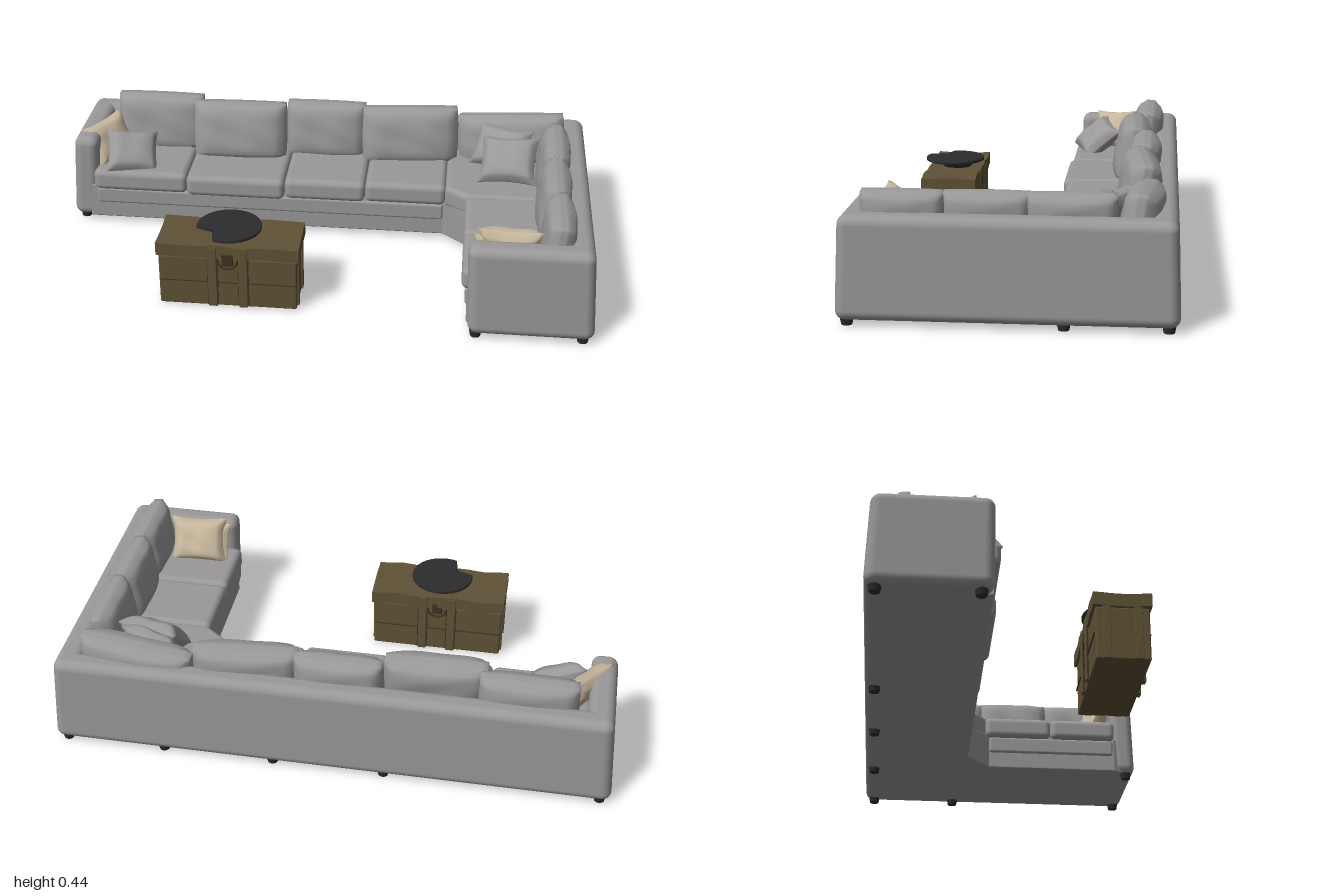
import * as THREE from 'three';
import { mergeVertices } from 'three/addons/utils/BufferGeometryUtils.js';
import { RoundedBoxGeometry } from 'three/addons/geometries/RoundedBoxGeometry.js';

const paint = (name, color) => {
  const m = new THREE.MeshStandardMaterial({ color });
  m.name = name;
  return m;
};

export function createModel() {
  const root = new THREE.Group();
  root.name = 'cornerSofaSet';
  const fabric = paint('greyFabric', 0x9a9898);
  const beige = paint('beigeFabric', 0xc6b69c);
  const wood = paint('oliveWood', 0x5f5236);
  const darkWood = paint('darkWood', 0x3d3422);
  const black = paint('blackMetal', 0x2b2c2e);

  const add = (name, geo, mat, x = 0, y = 0, z = 0) => {
    const m = new THREE.Mesh(geo, mat);
    m.name = name;
    m.position.set(x, y, z);
    root.add(m);
    return m;
  };
  // boxes given by their extents
  const box = (name, mat, [x0, x1], [y0, y1], [z0, z1], r = 0) => {
    const s = [x1 - x0, y1 - y0, z1 - z0];
    const g = r ? new RoundedBoxGeometry(...s, 4, r) : new THREE.BoxGeometry(...s);
    return add(name, g, mat, (x0 + x1) / 2, (y0 + y1) / 2, (z0 + z1) / 2);
  };
  // horizontal slab from an x/z outline, with its top at y
  const slab = (name, mat, pts, top, depth, bevel) => {
    const shape = new THREE.Shape(pts.map(p => new THREE.Vector2(...p)));
    const g = new THREE.ExtrudeGeometry(shape, {
      depth: depth - 2 * bevel, bevelEnabled: bevel > 0, bevelSize: bevel,
      bevelThickness: bevel, bevelOffset: -bevel, bevelSegments: 4, curveSegments: 24,
    });
    g.rotateX(Math.PI / 2);
    return add(name, g, mat, 0, top - bevel, 0);
  };

  // outer walls, leaning slightly inwards towards the top
  const wall = (name, xs, zs) => {
    const m = box(name, fabric, xs, [0.018, 0.357], zs, 0.034);
    const p = m.geometry.attributes.position;
    for (let i = 0; i < p.count; i++) {
      const k = 0.022 * (p.getY(i) / 0.34 + 0.5);
      p.setX(i, p.getX(i) - (p.getX(i) + m.position.x) * k);
      p.setZ(i, p.getZ(i) - (p.getZ(i) + m.position.z) * k);
    }
  };
  wall('backWall', [-1, 1], [-0.547, -0.455]);
  wall('sideWall', [0.905, 1], [-0.547, 0.547]);
  wall('rightArm', [-1, -0.905], [-0.547, -0.14]);
  wall('leftArm', [0.562, 1], [0.455, 0.547]);

  // base following the corner
  slab('seatBase', fabric, [[-0.93, -0.5], [0.95, -0.5], [0.95, 0.5], [0.575, 0.5],
    [0.555, 0.46], [0.555, -0.05], [0.45, -0.14], [-0.93, -0.14]], 0.16, 0.14, 0.006);
  box('frontTrim', fabric, [-0.9, 0.45], [0.085, 0.15], [-0.2, -0.132], 0.01);
  box('sideTrim', fabric, [0.547, 0.62], [0.085, 0.15], [-0.05, 0.455], 0.01);

  // seat cushions
  const seatY = [0.148, 0.232];
  [[-0.905, -0.54, -0.115], [-0.54, -0.16, -0.103], [-0.16, 0.15, -0.117], [0.15, 0.458, -0.125]]
    .forEach(([a, b, z]) => box('seatCushion', fabric, [a, b], seatY, [-0.46, z], 0.024));
  [[-0.068, 0.2], [0.2, 0.462]]
    .forEach(zs => box('seatCushion', fabric, [0.533, 0.91], seatY, zs, 0.024));
  slab('cornerSeatCushion', fabric, [[0.456, -0.46], [0.91, -0.46], [0.91, -0.066],
    [0.537, -0.066], [0.456, -0.128]], 0.232, 0.084, 0.02);
  box('rearLedge', wood, [-0.905, -0.2], [0.226, 0.238], [-0.462, -0.36]);

  // soft pillow: full in the middle, thin at the rim; pinch pulls the sides in
  const pillowGeo = (w, h, d, pinch, edge) => {
    const g = new THREE.BoxGeometry(2, 2, 2, 16, 16, 4);
    g.deleteAttribute('normal');
    g.deleteAttribute('uv');
    const p = g.attributes.position;
    for (let i = 0; i < p.count; i++) {
      const u = p.getX(i), v = p.getY(i), t = p.getZ(i);
      const full = Math.sqrt(Math.max(0, (1 - u ** 4) * (1 - v ** 4)));
      const ripple = 0.003 * full * Math.sin(5 * u + 3 * v) * Math.cos(4 * v - u);
      p.setXYZ(i, w / 2 * u * (1 - pinch * (1 - v * v)),
        h / 2 * v * (1 - pinch * (1 - u * u)),
        d / 2 * t * (edge + (1 - edge) * full) + ripple);
    }
    const m = mergeVertices(g);
    m.computeVertexNormals();
    return m;
  };
  const pillow = (name, mat, size, pos, [turn, tilt, roll], pinch, edge) => {
    const m = add(name, pillowGeo(...size, pinch, edge), mat, ...pos);
    m.rotation.set(tilt, turn, roll, 'YXZ');
  };

  // back cushions: width, height, depth / x, y, z / turn, tilt, roll
  const Q = -Math.PI / 2;
  [
    [[0.335, 0.225, 0.12], [-0.685, 0.318, -0.415], [0, -0.12, 0]],
    [[0.355, 0.225, 0.13], [-0.36, 0.32, -0.36], [0.03, -0.2, 0]],
    [[0.305, 0.22, 0.12], [-0.025, 0.318, -0.41], [0, -0.12, 0]],
    [[0.365, 0.22, 0.13], [0.305, 0.316, -0.4], [0.1, -0.16, 0]],
    [[0.4, 0.19, 0.13], [0.7, 0.31, -0.42], [-0.08, -0.15, 0.08]],
    [[0.285, 0.205, 0.11], [0.855, 0.316, -0.2], [Q, -0.15, 0]],
    [[0.275, 0.205, 0.11], [0.85, 0.316, 0.07], [Q, -0.15, 0]],
    [[0.265, 0.205, 0.11], [0.858, 0.316, 0.34], [Q, -0.12, 0]],
  ].forEach(([s, p, r]) => pillow('backCushion', fabric, s, p, r, -0.025, 0.3));

  // scatter pillows
  [
    ['beigePillow', beige, [0.2, 0.17, 0.08], [-0.87, 0.296, -0.27], [0.95, -0.45, 0.1]],
    ['greyPillow', fabric, [0.2, 0.18, 0.08], [-0.765, 0.28, -0.205], [0.5, -0.85, -0.25]],
    ['beigePillow', beige, [0.22, 0.18, 0.08], [0.69, 0.298, 0.395], [Math.PI, -0.45, 0.04]],
    ['beigePillow', beige, [0.17, 0.15, 0.05], [0.65, 0.285, 0.42], [Math.PI - 0.3, -0.4, 0.1]],
    ['cornerPillow', fabric, [0.22, 0.19, 0.09], [0.69, 0.305, -0.235], [-0.2, -0.8, 0.08]],
    ['cornerPillow', fabric, [0.22, 0.17, 0.08], [0.66, 0.315, -0.32], [-0.4, -0.6, 0]],
  ].forEach(([n, m, s, p, r]) => pillow(n, m, s, p, r, 0.1, 0.08));

  // feet
  const footGeo = new THREE.CylinderGeometry(0.022, 0.018, 0.022, 16);
  [[-0.96, -0.51], [-0.2, -0.51], [0.2, -0.51], [0.6, -0.51], [0.96, -0.51], [-0.96, -0.18],
    [0.96, -0.18], [0.96, 0.51], [0.59, 0.51]]
    .forEach(([x, z]) => add('foot', footGeo, black, x, 0.011, z));

  // chest table with an uneven lid
  box('chestBody', wood, [-0.538, -0.045], [0.004, 0.2], [0.235, 0.425], 0.006);
  box('lidGap', darkWood, [-0.534, -0.049], [0.196, 0.206], [0.238, 0.422]);
  const lidGeo = new THREE.BoxGeometry(0.508, 0.048, 0.206, 16, 1, 6);
  const lp = lidGeo.attributes.position;
  for (let i = 0; i < lp.count; i++) {
    const x = lp.getX(i), z = lp.getZ(i);
    lp.setY(i, lp.getY(i) + 0.003 * Math.sin(x * 31) * Math.cos(z * 25));
    lp.setZ(i, z + 0.002 * Math.sin(x * 47));
  }
  lidGeo.computeVertexNormals();
  add('chestLid', lidGeo, wood, -0.291, 0.228, 0.33);

  // straps, plank grooves and loop handles on both long faces
  for (const s of [1, -1]) {
    const z = 0.33 + s * 0.097;
    for (const x of [-0.345, -0.235]) {
      box('strap', wood, [x - 0.016, x + 0.016], [0.006, 0.248], [z - 0.009, z + 0.009], 0.003);
      for (const e of [-0.018, 0.018])
        box('strapEdge', darkWood, [x + e - 0.0015, x + e + 0.0015], [0.01, 0.2], [z - 0.005, z + 0.001]);
    }
    box('plankGroove', darkWood, [-0.535, -0.048], [0.1, 0.103], [z - 0.004, z + 0.0005]);
    box('latch', darkWood, [-0.31, -0.27], [0.175, 0.222], [z - 0.006, z + 0.01], 0.004);
    const handle = add('handle', new THREE.TorusGeometry(0.036, 0.004, 8, 20, Math.PI), darkWood,
      -0.29, 0.198, z + s * 0.004);
    handle.rotation.z = Math.PI;
  }
  for (const x of [-0.54, -0.043])
    for (const z of [0.275, 0.385])
      box('endStrap', wood, [x - 0.004, x + 0.004], [0.006, 0.245], [z - 0.014, z + 0.014], 0.002);

  // round tray with a notch on a low stand
  const tray = [[-0.35, 0.375]];
  for (let i = 0; i <= 40; i++) {
    const a = 1.95 + Math.PI + (i / 40) * 5.25 - 3.02;
    const b = a - 0.17;
    tray.push([-0.295 + 0.116 * Math.cos(b), 0.335 + 0.113 * Math.sin(b)]);
  }
  // turn the outline so the notch opens towards the front right corner
  const end = tray.slice(1).map((_, i) => {
    const a = 1.95 - (i / 40) * 5.25;
    return [-0.295 + 0.116 * Math.cos(a), 0.335 + 0.113 * Math.sin(a)];
  });
  slab('tray', black, [tray[0], ...end], 0.287, 0.012, 0.003);
  add('trayStand', new THREE.CylinderGeometry(0.07, 0.05, 0.03, 24), black, -0.28, 0.264, 0.325);

  return root;
}
